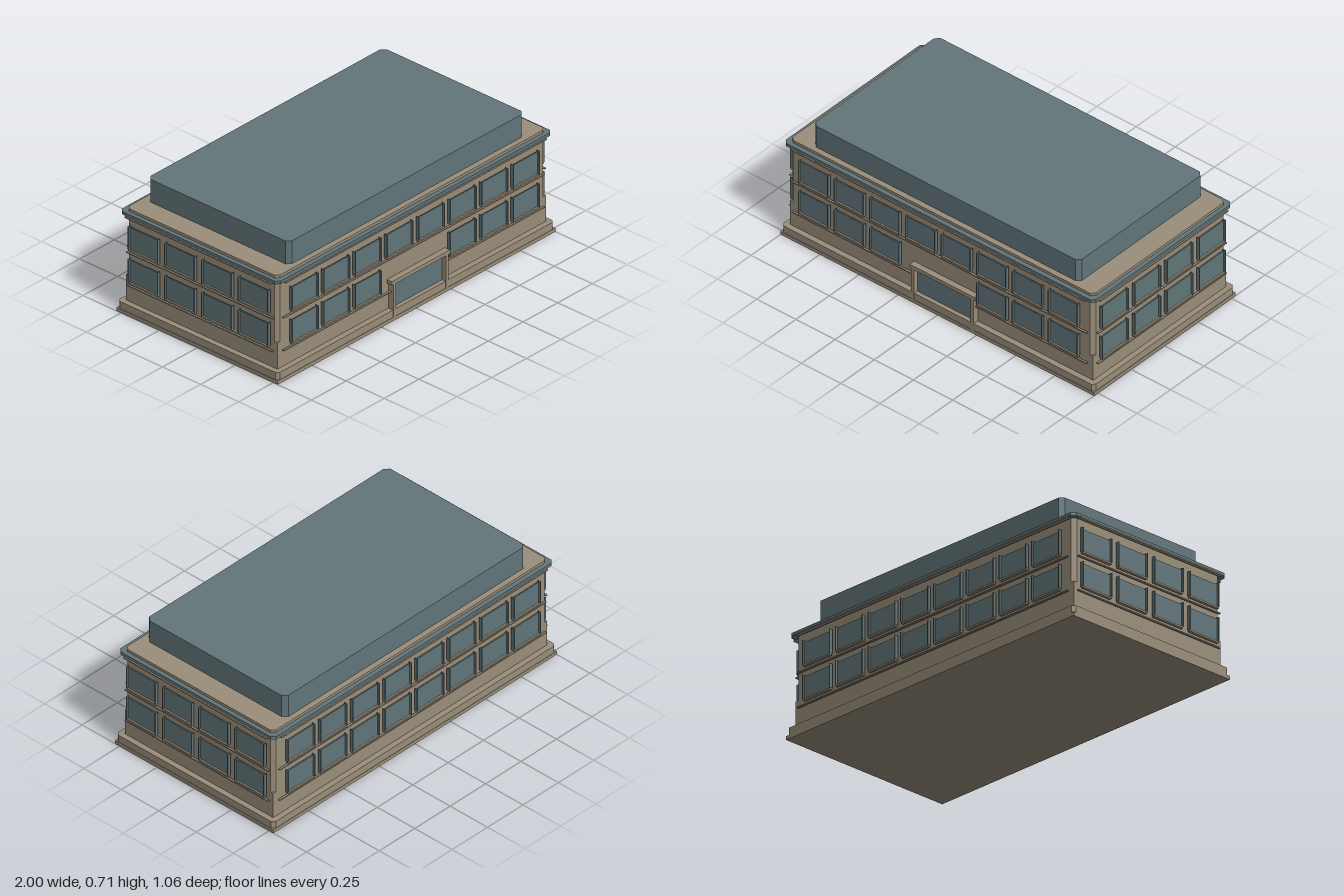
import * as THREE from 'three';

const stone = new THREE.MeshStandardMaterial({ color: 0x9a8e7b });
stone.name = 'stone';
const slate = new THREE.MeshStandardMaterial({ color: 0x62767a });
slate.name = 'slate';

// Box given by its limits on each axis
function box(parent, name, material, [x0, x1], [y0, y1], [z0, z1]) {
  const mesh = new THREE.Mesh(new THREE.BoxGeometry(x1 - x0, y1 - y0, z1 - z0), material);
  mesh.position.set((x0 + x1) / 2, (y0 + y1) / 2, (z0 + z1) / 2);
  mesh.name = name;
  parent.add(mesh);
  return mesh;
}

// Upright block with cut corners: half width, half depth, bottom, top, corner cut
function block(parent, name, material, w, d, y0, y1, c) {
  const shape = new THREE.Shape([
    [w - c, -d], [w, -d + c], [w, d - c], [w - c, d],
    [-w + c, d], [-w, d - c], [-w, -d + c], [-w + c, -d],
  ].map(([x, y]) => new THREE.Vector2(x, y)));
  const geometry = new THREE.ExtrudeGeometry(shape, { depth: y1 - y0, bevelEnabled: false });
  geometry.rotateX(-Math.PI / 2);
  geometry.translate(0, y0, 0);
  const mesh = new THREE.Mesh(geometry, material);
  mesh.name = name;
  parent.add(mesh);
}

// Window standing just off a wall that faces +z
function addWindow(parent, x, y, z, width) {
  const w = new THREE.Group();
  w.name = 'window';
  const h = width / 2;
  box(w, 'windowPane', slate, [-h, h], [0, 0.122], [0.011, 0.018]);
  for (const s of [-1, 1]) {
    const edges = [s * h, s * (h + 0.006)].sort((a, b) => a - b);
    box(w, 'windowPost', slate, edges, [0, 0.129], [0.011, 0.029]);
  }
  box(w, 'windowSill', stone, [-h - 0.004, h + 0.004], [-0.009, 0], [0.011, 0.027]);
  w.position.set(x, y, z);
  parent.add(w);
}

// One wall's windows and ledges, built facing +z and then turned
function addFacade(parent, { name, angle, wallZ, half, count, pitch, width, doorway }) {
  const facade = new THREE.Group();
  facade.name = name;
  for (const y of [0.185, 0.369]) {
    for (let i = 0; i < count; i++) {
      const x = (i - (count - 1) / 2) * pitch;
      if (doorway && y < 0.3 && x > doorway[0] && x < doorway[1]) continue;
      addWindow(facade, x, y, wallZ, width);
    }
  }
  const near = [wallZ + 0.008, wallZ + 0.019];
  box(facade, 'upperLedge', stone, [-half, half], [0.34, 0.346], near);
  const spans = doorway ? [[-half, doorway[0]], [doorway[1], half]] : [[-half, half]];
  for (const span of spans) box(facade, 'lowerLedge', stone, span, [0.156, 0.162], near);
  box(facade, 'corniceStrip', stone, [-half, half], [0.541, 0.548], [wallZ + 0.011, wallZ + 0.031]);
  facade.rotation.y = angle;
  parent.add(facade);
}

export function createModel() {
  const building = new THREE.Group();
  building.name = 'building';

  // Plinth
  box(building, 'plinthSlab', stone, [-1, 1], [0, 0.02], [-0.529, 0.529]);
  block(building, 'plinth', stone, 0.997, 0.527, 0.02, 0.06, 0.016);

  // Walls: square at the foot, cut corners above
  box(building, 'lowerWalls', stone, [-0.967, 0.967], [0.06, 0.205], [-0.496, 0.496]);
  block(building, 'upperWalls', stone, 0.967, 0.496, 0.205, 0.58, 0.019);

  // Cornice and raised roof
  block(building, 'cornice', slate, 0.99, 0.521, 0.548, 0.565, 0.02);
  block(building, 'roof', slate, 0.85, 0.465, 0.58, 0.708, 0.023);

  // Windows and ledges on all four sides
  const long = { wallZ: 0.497, half: 0.94, count: 8, pitch: 0.2275, width: 0.18 };
  const short = { wallZ: 0.967, half: 0.48, count: 4, pitch: 0.2415, width: 0.187 };
  addFacade(building, { ...long, name: 'frontFacade', angle: 0, doorway: [-0.165, 0.23] });
  addFacade(building, { ...long, name: 'backFacade', angle: Math.PI });
  addFacade(building, { ...short, name: 'leftFacade', angle: Math.PI / 2 });
  addFacade(building, { ...short, name: 'rightFacade', angle: -Math.PI / 2 });

  // Entrance
  const entrance = new THREE.Group();
  entrance.name = 'entrance';
  box(entrance, 'doorGlass', slate, [-0.148, 0.212], [0.06, 0.203], [0.496, 0.504]);
  box(entrance, 'doorJamb', stone, [-0.167, -0.148], [0.02, 0.203], [0.49, 0.529]);
  box(entrance, 'doorJamb', stone, [0.212, 0.231], [0.02, 0.203], [0.49, 0.529]);
  box(entrance, 'doorLintel', stone, [-0.177, 0.241], [0.203, 0.224], [0.49, 0.529]);
  building.add(entrance);

  return building;
}
